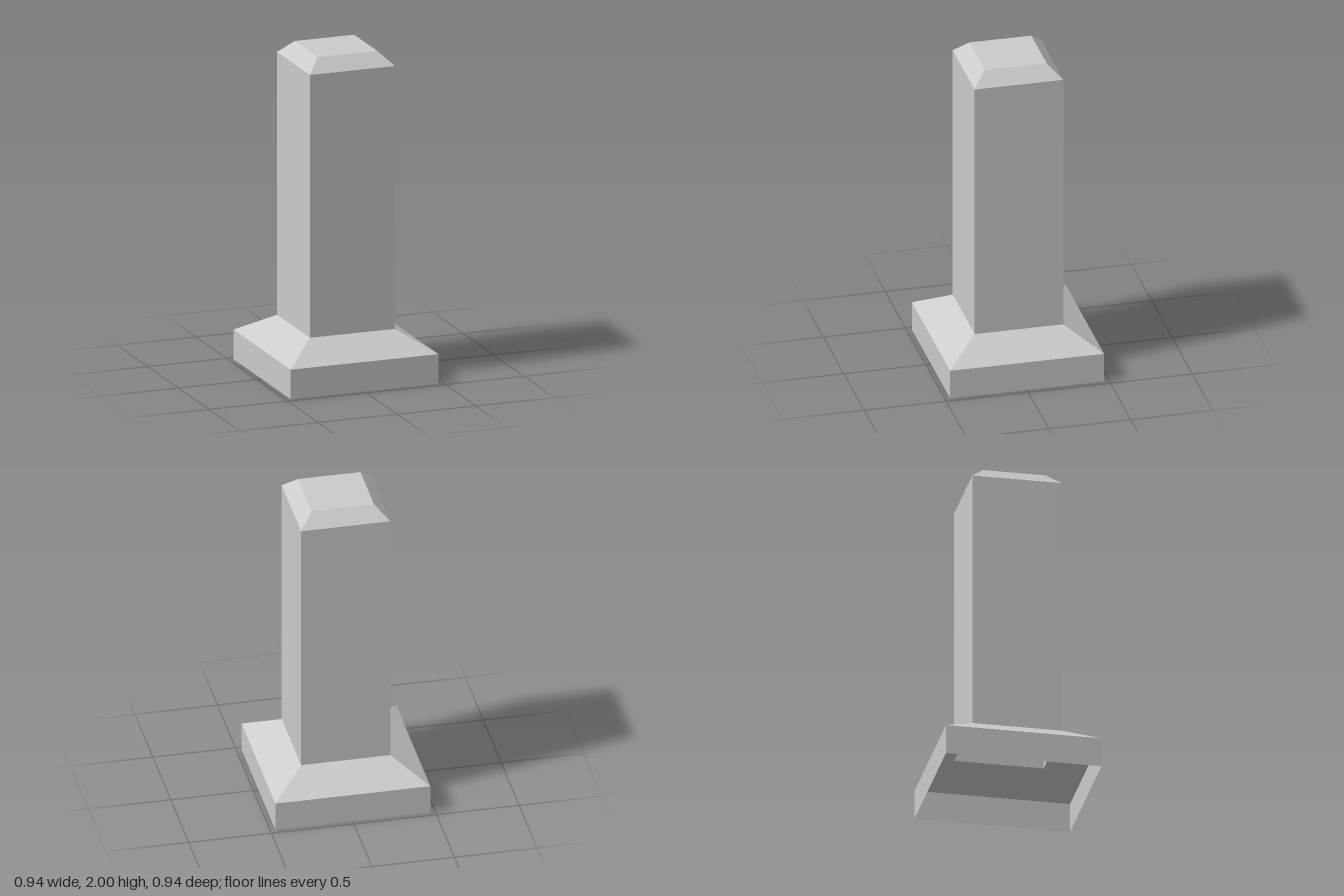
import * as THREE from 'three';

// Square open-ended section: half-widths at bottom and top, from y0 to y1
function squareSection(name, bottom, top, y0, y1, material) {
  const geometry = new THREE.CylinderGeometry(
    top * Math.SQRT2, bottom * Math.SQRT2, y1 - y0, 4, 1, true);
  geometry.rotateY(Math.PI / 4);
  geometry.translate(0, (y0 + y1) / 2, 0);
  const mesh = new THREE.Mesh(geometry, material);
  mesh.name = name;
  return mesh;
}

export function createModel() {
  const group = new THREE.Group();
  group.name = 'post';
  // Hollow shell, open underneath
  const material = new THREE.MeshStandardMaterial({
    color: 0xcccccc, flatShading: true, side: THREE.DoubleSide });

  const base = 0.469, shaft = 0.27, cap = 0.189;
  group.add(
    squareSection('plinth', base, base, 0, 0.182, material),
    squareSection('plinthSlope', base, shaft, 0.182, 0.305, material),
    squareSection('shaft', shaft, shaft, 0.305, 1.92, material),
    squareSection('capBevel', shaft, cap, 1.92, 2, material));

  // Flat square closing the top
  const top = new THREE.Mesh(new THREE.PlaneGeometry(cap * 2, cap * 2), material);
  top.name = 'capTop';
  top.rotation.x = -Math.PI / 2;
  top.position.y = 2;
  group.add(top);
  return group;
}
